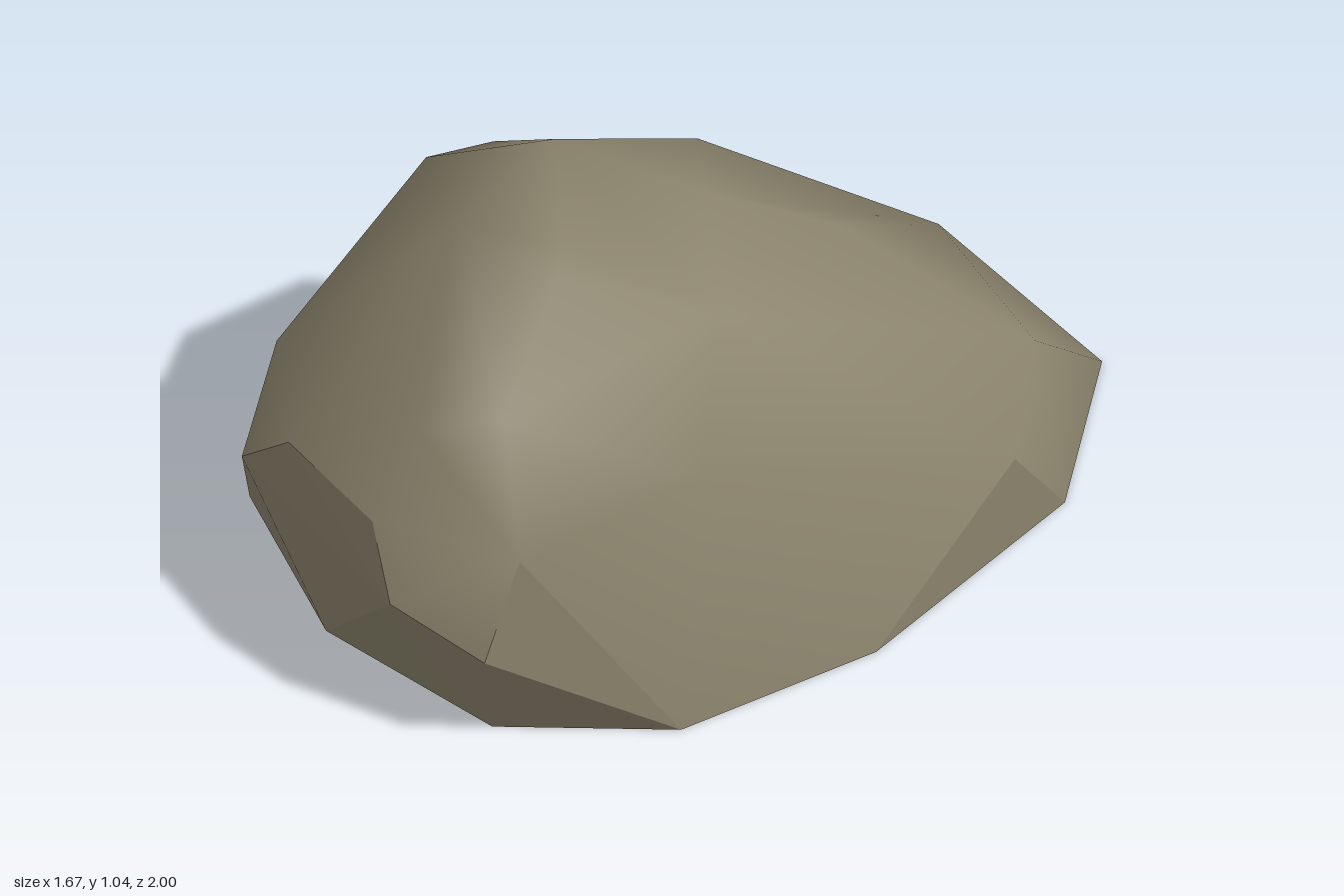
import * as THREE from 'three';
import { ConvexGeometry } from 'three/addons/geometries/ConvexGeometry.js';
import { mergeVertices } from 'three/addons/utils/BufferGeometryUtils.js';

// Named corners of the boulder
const P = {
  // ground outline, open underneath
  tip: [0.64, 0, -1], backA: [0.04, 0, -0.89], backB: [-0.59, 0, -0.46], leftA: [-0.835, 0, -0.01],
  leftB: [-0.75, 0, 0.4], frontA: [-0.35, 0, 0.74], frontB: [0.15, 0, 0.855], frontC: [0.52, 0, 0.65],
  rightA: [0.75, 0, 0.18], rightB: [0.833, 0, -0.51],
  // chipped band near the ground
  chipA: [-0.64, 0.3, 0.62], chipB: [-0.43, 0.52, 0.77], chipC: [-0.03, 0.37, 1], chipD: [0.21, 0.29, 0.99],
  chipE: [-0.1, 0.55, 0.96], chipF: [0.26, 0.55, 0.92], chipG: [0.815, 0.24, -0.32],
  // worn upper body
  shoulderR: [0.73, 0.39, -0.55], ridge: [0.38, 0.47, -0.72], back: [0, 0.84, -0.3], backL: [-0.5, 0.67, -0.25],
  backR: [0.16, 0.9, -0.07], backLow: [0.33, 0.66, -0.39], apex: [-0.14, 1.04, 0.09],
  crownA: [0.06, 1.025, 0.4], crownB: [0.11, 1.01, 0.5], crownC: [-0.19, 1.01, 0.44],
  crownR: [0.41, 0.9, 0.3], crownL: [-0.48, 0.85, 0.08], flankR: [0.51, 0.63, 0.54],
  sideL: [-0.65, 0.51, 0.45], browL: [-0.04, 0.75, 0.85], browR: [0.14, 0.82, 0.79],
};

// Corner sets whose faces are flat, sharp-edged chips
const CHIPS = [
  ['chipA', 'chipB', 'chipC', 'chipD', 'leftB', 'frontA', 'frontB', 'frontC'],
  ['chipB', 'chipE', 'chipC'],
  ['chipD', 'chipF', 'frontC'],
  ['chipG', 'rightA', 'rightB'],
];

function geometryFrom(positions) {
  const g = new THREE.BufferGeometry();
  g.setAttribute('position', new THREE.Float32BufferAttribute(positions, 3));
  return g;
}

export function createModel() {
  const group = new THREE.Group();
  group.name = 'boulder';
  const stone = new THREE.MeshStandardMaterial({ color: 0x8b836c, side: THREE.DoubleSide });
  stone.name = 'stone';

  const names = Object.keys(P);
  const corners = names.map((n) => new THREE.Vector3(...P[n]));
  const hull = new ConvexGeometry(corners).getAttribute('position');
  const nameOf = (v) => names[corners.findIndex((c) => c.distanceTo(v) < 1e-4)];

  // Sort the hull faces into chips and worn surface, leaving out the underside
  const chips = [];
  const worn = [];
  for (let i = 0; i < hull.count; i += 3) {
    const tri = [0, 1, 2].map((k) => new THREE.Vector3().fromBufferAttribute(hull, i + k));
    if (tri.every((v) => v.y < 1e-3)) continue;
    const ids = tri.map(nameOf);
    const flat = CHIPS.some((set) => ids.every((id) => set.includes(id)));
    tri.forEach((v) => (flat ? chips : worn).push(v.x, v.y, v.z));
  }

  // Smooth worn surface
  const wornGeometry = mergeVertices(geometryFrom(worn), 1e-4);
  wornGeometry.computeVertexNormals();
  const body = new THREE.Mesh(wornGeometry, stone);
  body.name = 'wornSurface';
  group.add(body);

  // Flat chips
  const chipGeometry = geometryFrom(chips);
  chipGeometry.computeVertexNormals();
  const facets = new THREE.Mesh(chipGeometry, stone);
  facets.name = 'chippedFacets';
  group.add(facets);

  return group;
}
